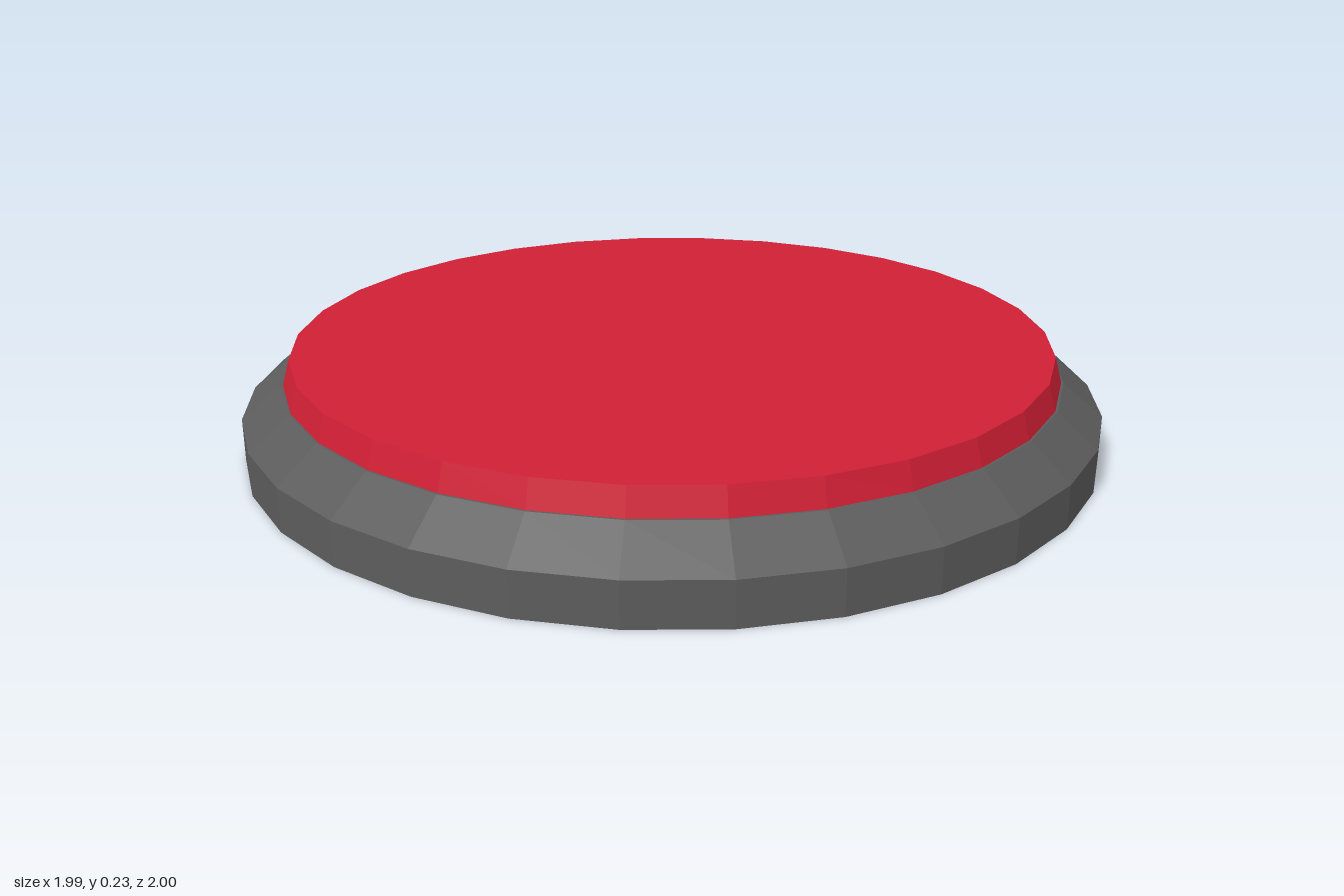
import * as THREE from 'three';

const SIDES = 30;

// Faceted solid of revolution from [radius, height] pairs, bottom to top
function turned(name, color, profile) {
  const points = profile.map(([r, y]) => new THREE.Vector2(r, y));
  const material = new THREE.MeshStandardMaterial({ color, flatShading: true });
  const mesh = new THREE.Mesh(new THREE.LatheGeometry(points, SIDES), material);
  mesh.name = name;
  return mesh;
}

export function createModel() {
  const model = new THREE.Group();
  model.name = 'pushButton';

  // Housing: short upright wall, then a bevel up to the button
  model.add(turned('housing', 0x5c5c5c, [
    [0, 0], [1, 0], [1, 0.1], [0.908, 0.175], [0, 0.175],
  ]));

  // Button cap: slightly tapered disc on the housing
  model.add(turned('buttonCap', 0xd01f35, [
    [0.903, 0.175], [0.886, 0.235], [0, 0.235],
  ]));

  return model;
}
